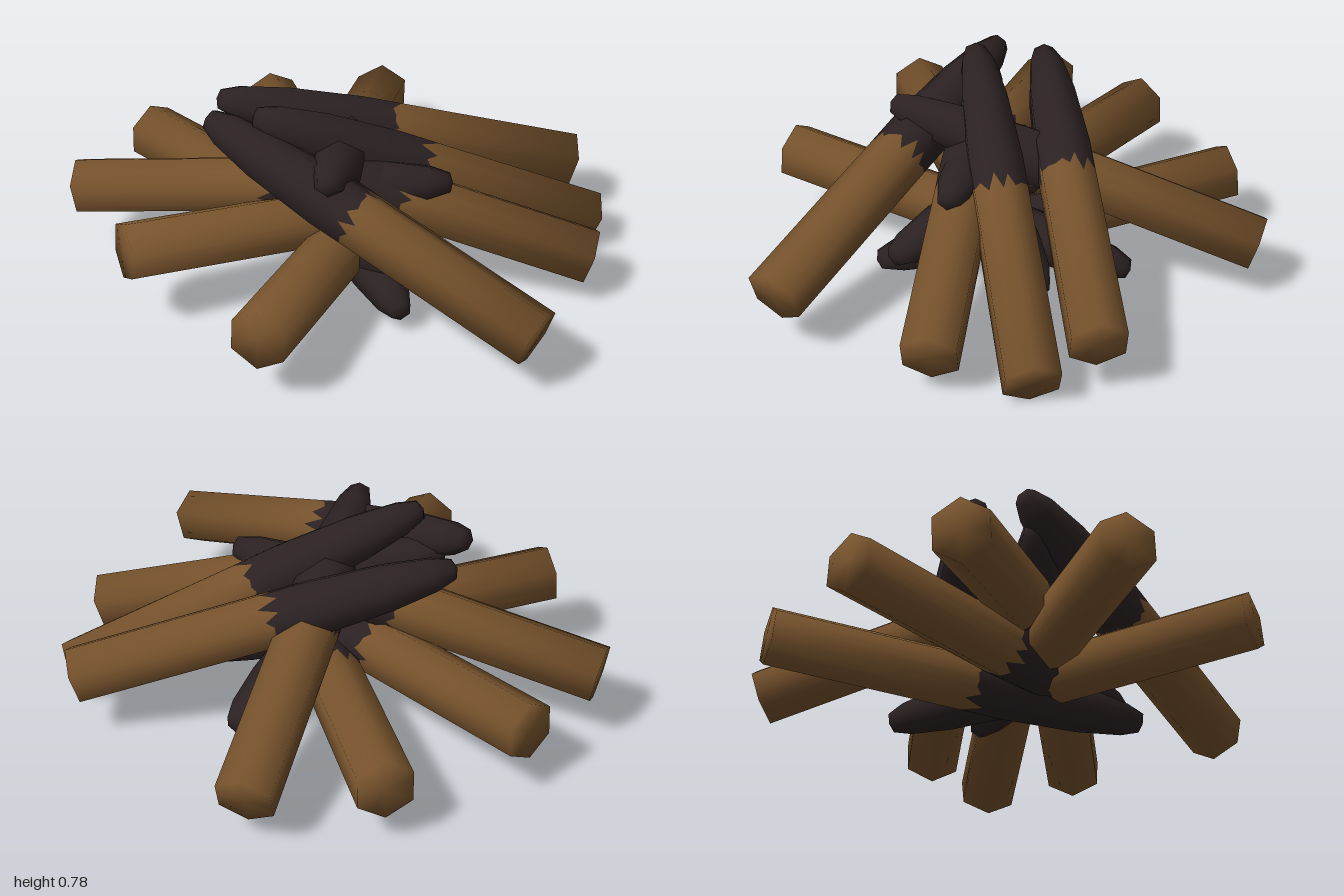
import * as THREE from 'three';

const bark = new THREE.MeshStandardMaterial({ color: 0x76522c });
bark.name = 'brownWood';
const char = new THREE.MeshStandardMaterial({ color: 0x2b2122 });
char.name = 'charredWood';

const SIDES = 6, PER_SIDE = 4, N = SIDES * PER_SIDE;

// Point on a unit hexagon with a corner pointing up
function hexPoint(i) {
  const corner = (k) => new THREE.Vector2(
    Math.cos(Math.PI / 6 + k * Math.PI / 3), Math.sin(Math.PI / 6 + k * Math.PI / 3));
  const k = Math.floor(i / PER_SIDE);
  return corner(k).lerp(corner(k + 1), (i % PER_SIDE) / PER_SIDE);
}

// Six-sided log along +z: sawn brown end, ragged burn line, tapering charred tip
function logGeometry(length, seed) {
  // [position along log, radius, lengthwise lean of the soft normal, raggedness]
  const rings = [
    [0, 0.115, -0.7, 0],
    [0.53, 0.115, 0, 0.014],
    [0.62, 0.116, 0.03, 0],
    [0.82, 0.098, 0.15, 0],
    [0.94, 0.07, 0.4, 0],
    [0.99, 0.042, 1.0, 0],
  ];
  const positions = [], normals = [], index = [];
  for (const [t, r, lean, ragged] of rings) {
    for (let i = 0; i < N; i++) {
      const p = hexPoint(i);
      const jag = ragged * ((i % 2 ? 1 : -1) + Math.sin(i * 2.4 + seed * 1.7));
      positions.push(p.x * r, p.y * r, (t + jag) * length);
      const n = new THREE.Vector3(p.x, p.y, lean).normalize();
      normals.push(n.x, n.y, n.z);
    }
  }
  const startCentre = rings.length * N, endCentre = startCentre + 1;
  positions.push(0, 0, 0, 0, 0, length);
  normals.push(0, 0, -1, 0, 0, 1);

  for (let i = 0; i < N; i++) index.push(startCentre, (i + 1) % N, i);
  let brownCount = 0;
  for (let k = 0; k < rings.length - 1; k++) {
    for (let i = 0; i < N; i++) {
      const j = (i + 1) % N;
      const a = k * N + i, b = k * N + j, c = a + N, d = b + N;
      index.push(a, b, d, a, d, c);
    }
    if (k === 0) brownCount = index.length;
  }
  const last = (rings.length - 1) * N;
  for (let i = 0; i < N; i++) index.push(endCentre, last + i, last + (i + 1) % N);

  const g = new THREE.BufferGeometry();
  g.setAttribute('position', new THREE.Float32BufferAttribute(positions, 3));
  g.setAttribute('normal', new THREE.Float32BufferAttribute(normals, 3));
  g.setIndex(index);
  g.addGroup(0, brownCount, 0);
  g.addGroup(brownCount, index.length - brownCount, 1);
  return g;
}

export function createModel() {
  const model = new THREE.Group();
  model.name = 'campfireLogs';

  // Each log: sawn end, then charred tip
  const logs = [
    [[-0.79, 0.28, -0.79], [0.17, 0.50, 0.31]],
    [[-0.37, 0.29, -0.97], [-0.01, 0.20, 0.44]],
    [[0.21, 0.245, -0.97], [-0.15, 0.11, 0.43]],
    [[0.645, 0.21, -0.765], [-0.35, 0.65, 0.24]],
    [[-0.93, 0.35, -0.22], [0.50, 0.23, 0.11]],
    [[-0.79, 0.29, 0.44], [0.47, 0.15, -0.31]],
    [[0.04, 0.24, 0.955], [-0.48, 0.70, -0.34]],
    [[0.58, 0.18, 0.63], [-0.43, 0.62, -0.26]],
    [[0.82, 0.11, 0.36], [-0.39, 0.76, -0.16]],
    [[0.90, 0.24, 0.14], [-0.36, 0.68, -0.46]],
  ];
  logs.forEach(([from, to], i) => {
    const start = new THREE.Vector3(...from), tip = new THREE.Vector3(...to);
    const log = new THREE.Mesh(logGeometry(start.distanceTo(tip), i), [bark, char]);
    log.name = `log${i + 1}`;
    log.position.copy(start);
    log.lookAt(tip);
    model.add(log);
  });
  return model;
}
